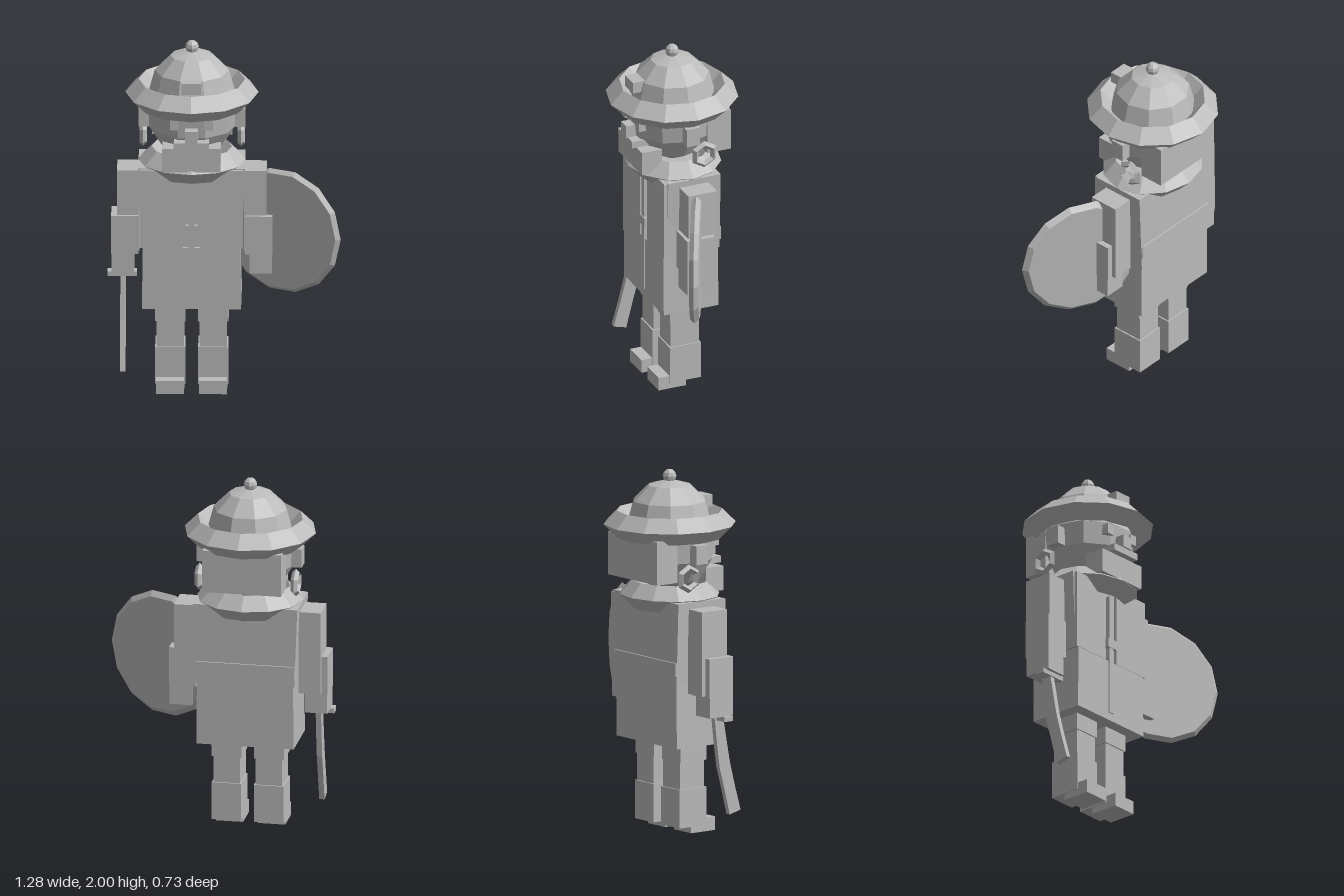
import * as THREE from 'three';

const CX = -0.186; // centre line of the body

export function createModel() {
  const root = new THREE.Group();
  root.name = 'shieldBearer';
  const grey = new THREE.MeshStandardMaterial({ color: 0xbbbbbb, flatShading: true });
  grey.name = 'plain grey';

  const body = new THREE.Group();
  body.name = 'figure';
  body.position.x = CX;
  root.add(body);

  const add = (name, geo, parent = body) => {
    const m = new THREE.Mesh(geo, grey);
    m.name = name;
    parent.add(m);
    return m;
  };
  // Box given by its limits, relative to the body's centre line
  const box = (name, x0, x1, y0, y1, z0, z1) => add(name, new THREE.BoxGeometry(x1 - x0, y1 - y0, z1 - z0)
    .translate((x0 + x1) / 2, (y0 + y1) / 2, (z0 + z1) / 2));
  const pair = (name, x0, x1, ...rest) => {
    box(name + 'Left', x0, x1, ...rest);
    box(name + 'Right', -x1, -x0, ...rest);
  };
  // Box whose top and bottom differ in half width
  const taper = (name, topHW, bottomHW, y0, y1, z0, z1) => {
    const g = new THREE.BoxGeometry(2, y1 - y0, z1 - z0).translate(0, (y0 + y1) / 2, (z0 + z1) / 2);
    const p = g.attributes.position;
    for (let i = 0; i < p.count; i++) p.setX(i, p.getX(i) * (p.getY(i) > (y0 + y1) / 2 ? topHW : bottomHW));
    return add(name, g);
  };
  const lathe = (pts, n) => new THREE.LatheGeometry(pts.map(([r, y]) => new THREE.Vector2(r, y)), n).rotateY(Math.PI / 2);
  const ring = (r, tube, n) => new THREE.TorusGeometry(r, tube, 4, n).rotateX(Math.PI / 2);

  // Helmet
  add('helmetBrim', ring(0.291, 0.074, 12)).position.y = 1.7;
  add('helmetDome', new THREE.SphereGeometry(0.235, 10, 3, 0, Math.PI * 2, 0, Math.PI / 2)).position.y = 1.71;
  add('helmetKnob', new THREE.SphereGeometry(0.038, 8, 6)).position.y = 1.962;
  box('helmetBadge', -0.053, 0.053, 1.773, 1.837, 0.18, 0.257);

  // Head and face
  add('head', lathe([[0, 1.3], [0.165, 1.39], [0.242, 1.51], [0.256, 1.64], [0.2, 1.74], [0, 1.8]], 10));
  pair('eye', 0.07, 0.118, 1.565, 1.622, 0.2, 0.25);
  box('nose', -0.035, 0.035, 1.5, 1.57, 0.2, 0.29);
  box('moustache', -0.096, 0.096, 1.462, 1.5, 0.18, 0.28);
  box('beard', -0.16, 0.16, 1.32, 1.456, 0.13, 0.25);
  box('backHair', -0.22, 0.22, 1.41, 1.65, -0.255, -0.115);
  pair('ear', 0.235, 0.293, 1.51, 1.615, -0.04, 0.04);
  for (const s of [-1, 1]) {
    const g = new THREE.TorusGeometry(0.06, 0.02, 4, 6).rotateZ(Math.PI / 2).rotateY(Math.PI / 2);
    add(s > 0 ? 'earringLeft' : 'earringRight', g).position.set(s * 0.268, 1.435, -0.075);
  }

  // Coat
  const collar = add('collar', ring(0.22, 0.075, 12));
  collar.position.y = 1.31;
  collar.scale.z = 0.9;
  taper('coatTop', 0.292, 0.275, 0.85, 1.305, -0.163, 0.15);
  pair('coatFrontPanel', 0.046, 0.282, 0.85, 1.3, 0.1, 0.17);
  taper('coatSkirt', 0.268, 0.271, 0.495, 0.85, -0.158, 0.168);
  box('backBelt', -0.277, 0.277, 0.9, 0.975, -0.172, -0.08);
  box('frontStrip', -0.017, 0.017, 0.54, 1.24, 0.13, 0.175);
  box('buckle', -0.033, 0.033, 0.93, 0.982, 0.14, 0.18);

  // Arms
  pair('upperArm', 0.285, 0.409, 0.8, 1.27, -0.09, 0.082);
  pair('forearm', 0.292, 0.441, 0.79, 1.01, -0.065, 0.1);
  pair('hand', 0.315, 0.439, 0.68, 0.79, -0.06, 0.1);

  // Legs
  pair('trouserLeg', 0.035, 0.202, 0.4, 0.52, -0.08, 0.1);
  pair('shin', 0.043, 0.192, 0.24, 0.41, -0.077, 0.092);
  pair('boot', 0.035, 0.2, 0.036, 0.25, -0.085, 0.1);
  pair('foot', 0.041, 0.194, 0, 0.076, 0, 0.165);

  // Curved sword, outlined in z and y
  box('swordGuard', -0.462, -0.3, 0.655, 0.682, 0.025, 0.082);
  const blade = new THREE.Shape([
    [0.07, 0.67], [0.1, 0.5], [0.117, 0.41], [0.153, 0.27], [0.19, 0.14],
    [0.115, 0.12], [0.08, 0.26], [0.045, 0.39], [0.03, 0.5], [0.01, 0.67],
  ].map(([z, y]) => new THREE.Vector2(-z, y)));
  const bladeGeo = new THREE.ExtrudeGeometry(blade, { depth: 0.03, bevelEnabled: false }).rotateY(Math.PI / 2);
  add('swordBlade', bladeGeo).position.x = -0.391;

  // Round shield with a bevelled rim, turned on the left arm
  const shieldGeo = lathe([[0, -0.026], [0.328, -0.026], [0.357, 0], [0.336, 0.024], [0, 0.024]], 14).rotateX(Math.PI / 2);
  const shield = add('shield', shieldGeo, root);
  shield.position.set(0.31, 0.925, 0.075);
  shield.rotation.y = -0.453;

  return root;
}
